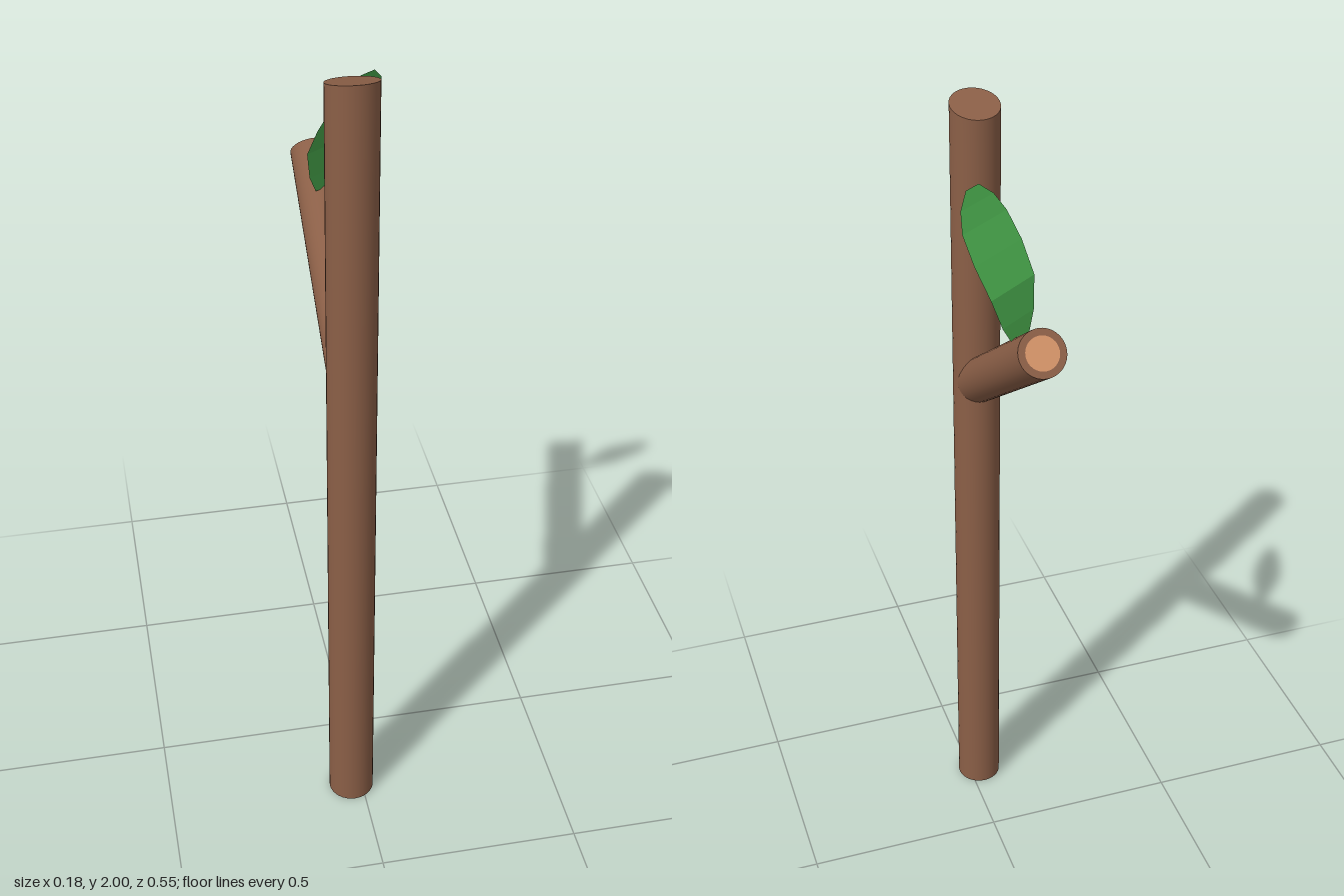
import * as THREE from 'three';

const bark = new THREE.MeshStandardMaterial({ color: 0x8b5f47 });
const wood = new THREE.MeshStandardMaterial({ color: 0xd29268 });
const green = new THREE.MeshStandardMaterial({ color: 0x4caf50, side: THREE.DoubleSide, flatShading: true });

const X = -0.027; // stem and branch share this plane

function add(group, name, geometry, material) {
  const mesh = new THREE.Mesh(geometry, material);
  mesh.name = name;
  group.add(mesh);
  return mesh;
}

// Upright stem with a slanted cut at the top
function stemGeometry(radius, height, slope) {
  const g = new THREE.CylinderGeometry(radius, radius, height, 32);
  g.translate(0, height / 2, 0);
  const p = g.attributes.position;
  const n = g.attributes.normal;
  for (let i = 0; i < p.count; i++) {
    if (p.getY(i) < height / 2) continue;
    p.setY(i, height + slope * (p.getZ(i) - radius));
    if (n.getY(i) > 0.9) {
      const v = new THREE.Vector3(0, 1, -slope).normalize();
      n.setXYZ(i, v.x, v.y, v.z);
    }
  }
  return g;
}

// Leaf: rows of [forward lean, height, half width], swept across its width
function leafGeometry() {
  const rows = [
    [-0.107, 1.585, 0.03], [-0.1, 1.63, 0.056], [-0.085, 1.7, 0.077],
    [-0.046, 1.77, 0.083], [-0.01, 1.83, 0.077], [0.01, 1.87, 0.057], [0.023, 1.9, 0.022],
  ];
  const across = 4, mid = 0.046;
  const positions = [], index = [];
  rows.forEach(([s, y, half], r) => {
    for (let c = 0; c <= across; c++) {
      const u = mid + half * (c / across * 2 - 1);
      positions.push(0.82 * u + 0.57 * s, y, -0.57 * u + 0.82 * s);
      if (r > 0 && c > 0) {
        const d = r * (across + 1) + c, b = d - across - 1;
        index.push(b - 1, d - 1, b, b, d - 1, d);
      }
    }
  });
  const g = new THREE.BufferGeometry();
  g.setAttribute('position', new THREE.Float32BufferAttribute(positions, 3));
  g.setIndex(index);
  g.computeVertexNormals();
  return g;
}

export function createModel() {
  const model = new THREE.Group();
  model.name = 'twig';

  // Main stem and the pale core on its lower cut
  const stem = new THREE.Group();
  stem.name = 'stem';
  stem.position.set(X, 0, 0.22);
  add(stem, 'stemBark', stemGeometry(0.057, 2, 0.26), bark);
  const core = add(stem, 'stemCore', new THREE.CircleGeometry(0.038, 32), wood);
  core.rotation.x = Math.PI / 2;
  core.position.y = -0.001;
  model.add(stem);

  // Side branch leaning backwards, with a pale core on its cut end
  const start = new THREE.Vector3(X, 1.3, 0.2);
  const end = new THREE.Vector3(X, 1.618, -0.243);
  const length = start.distanceTo(end);
  const branch = new THREE.Group();
  branch.name = 'branch';
  branch.position.copy(start);
  branch.quaternion.setFromUnitVectors(
    new THREE.Vector3(0, 1, 0), end.clone().sub(start).normalize());
  const wrap = new THREE.CylinderGeometry(0.054, 0.054, length, 32);
  wrap.translate(0, length / 2, 0);
  add(branch, 'branchBark', wrap, bark);
  const tip = add(branch, 'branchCore', new THREE.CircleGeometry(0.038, 32), wood);
  tip.rotation.x = -Math.PI / 2;
  tip.position.y = length + 0.001;
  model.add(branch);

  // Single leaf standing on the branch
  add(model, 'leaf', leafGeometry(), green);
  return model;
}
